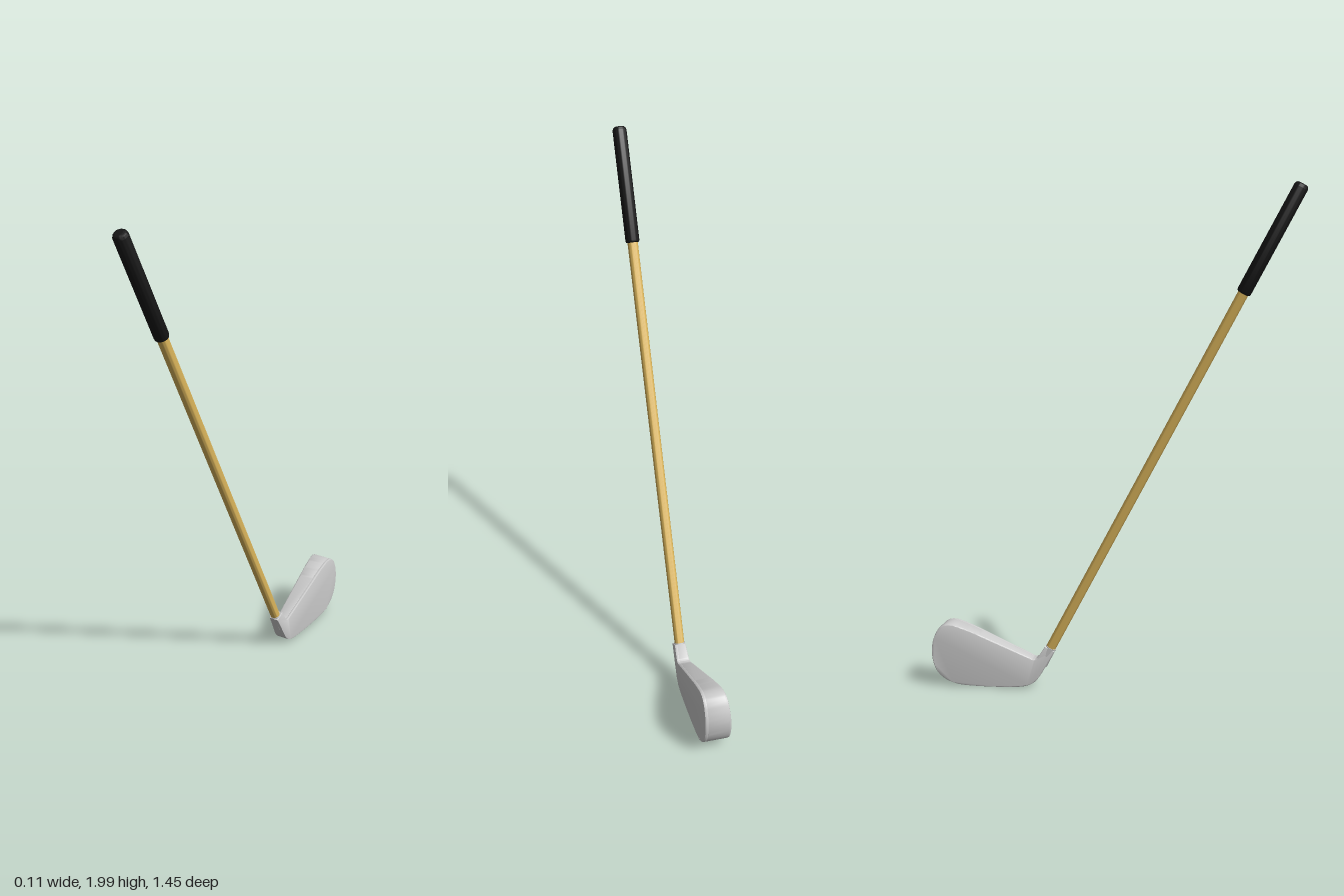
import * as THREE from 'three';
import { toCreasedNormals } from 'three/addons/utils/BufferGeometryUtils.js';

const steel = new THREE.MeshStandardMaterial({ color: 0xcccccc });
const gold = new THREE.MeshStandardMaterial({ color: 0xdcb65c });
const rubber = new THREE.MeshStandardMaterial({ color: 0x161616 });

const FACE = 0.047;    // x of the striking face
const FLOOR = 0.040;   // x of the recessed panel behind the ribs
const SHAFT_X = 0.022;

// Head outline, drawn with u = -z and v = y
function headShape() {
  const s = new THREE.Shape();
  s.moveTo(0.231, 0.160);
  s.lineTo(0.292, 0.055);
  s.quadraticCurveTo(0.312, 0.016, 0.37, 0.010);
  s.quadraticCurveTo(0.47, 0.004, 0.59, 0.012);
  s.bezierCurveTo(0.655, 0.018, 0.695, 0.045, 0.712, 0.085);
  s.bezierCurveTo(0.730, 0.130, 0.728, 0.185, 0.710, 0.220);
  s.bezierCurveTo(0.698, 0.252, 0.675, 0.268, 0.635, 0.260);
  s.quadraticCurveTo(0.58, 0.243, 0.53, 0.220);
  s.lineTo(0.335, 0.134);
  s.quadraticCurveTo(0.311, 0.118, 0.299, 0.133);
  s.lineTo(0.269, 0.180);
  s.closePath();
  return s;
}

// Upper edge of the ribbed panel: u where it reaches height v
const PANEL = { u0: 0.33, u1: 0.645, bottom: 0.024, top0: 0.120, top1: 0.248 };
const panelStart = (v) => PANEL.u0 +
  Math.max(0, (v - PANEL.top0) * (PANEL.u1 - PANEL.u0) / (PANEL.top1 - PANEL.top0));

const polygon = (pts, Type = THREE.Shape) =>
  new Type(pts.map(([u, v]) => new THREE.Vector2(u, v)));

// Extrude a (u, v) shape along x so that it ends at x = front
function slab(shape, front, depth, bevel, segments = 1) {
  const g = new THREE.ExtrudeGeometry(shape, {
    depth: depth - 2 * bevel, curveSegments: 10, bevelEnabled: bevel > 0,
    bevelSize: bevel, bevelThickness: bevel, bevelOffset: -bevel, bevelSegments: segments,
  });
  g.translate(0, 0, front - depth + bevel);
  return g.rotateY(Math.PI / 2);
}

function add(parent, name, geometry, material) {
  const mesh = new THREE.Mesh(geometry, material);
  mesh.name = name;
  parent.add(mesh);
  return mesh;
}

function createHead() {
  const head = new THREE.Group();
  head.name = 'head';

  // Wedge body: the back slopes away toward the toe and the sole
  const depth = 0.04;
  const body = slab(headShape(), FLOOR, depth, 0.004, 3);
  const p = body.attributes.position;
  for (let i = 0; i < p.count; i++) {
    const back = 0.027 + 0.122 * p.getZ(i) + 0.04 * p.getY(i);
    p.setX(i, FLOOR + (p.getX(i) - FLOOR) * (FLOOR - back) / depth);
  }
  add(head, 'headBody', toCreasedNormals(body, 0.6), steel);

  // Face frame with a window for the ribbed panel
  const frame = headShape();
  frame.holes.push(polygon([
    [PANEL.u0, PANEL.bottom], [PANEL.u0, PANEL.top0],
    [PANEL.u1, PANEL.top1], [PANEL.u1, PANEL.bottom],
  ], THREE.Path));
  add(head, 'faceFrame', toCreasedNormals(slab(frame, FACE, 0.014, 0.003, 2), 0.6), steel);

  // Horizontal ribs, trimmed to the slanted top of the panel
  for (let i = 0; i < 8; i++) {
    const lo = 0.031 + i * 0.0265, hi = lo + 0.016;
    const rib = polygon([
      [panelStart(lo), lo], [PANEL.u1, lo], [PANEL.u1, hi], [panelStart(hi), hi],
    ]);
    add(head, 'faceRib', slab(rib, FACE - 0.001, 0.010, 0.003), steel);
  }
  return head;
}

// Lathe along the shaft axis; profile is [radius, distance from shaft foot]
const lathe = (pts) => toCreasedNormals(
  new THREE.LatheGeometry(pts.map(([r, t]) => new THREE.Vector2(r, t)), 28), 0.7);

export function createModel() {
  const model = new THREE.Group();
  model.name = 'golfIron';
  model.add(createHead());

  // Shaft assembly, leaning toward the front
  const foot = new THREE.Vector3(SHAFT_X, 0.17, -0.25);
  const axis = new THREE.Vector3(SHAFT_X, 1.990, 0.705).sub(foot);
  const L = axis.length();
  const stick = new THREE.Group();
  stick.name = 'shaftAssembly';
  stick.position.copy(foot);
  stick.quaternion.setFromUnitVectors(new THREE.Vector3(0, 1, 0), axis.normalize());
  model.add(stick);

  add(stick, 'hosel', lathe([[0, -0.08], [0.0225, -0.08], [0.0215, 0.004], [0, 0.004]]), steel);
  add(stick, 'shaft', lathe([[0, -0.01], [0.0195, -0.01], [0.0205, L - 0.3], [0, L - 0.3]]), gold);

  // Grip with rounded ends
  const g0 = L - 0.452, r = 0.0275;
  add(stick, 'grip', lathe([
    [0, g0], [r - 0.007, g0], [r - 0.002, g0 + 0.003], [r, g0 + 0.009],
    [r, L - 0.014], [r - 0.003, L - 0.006], [r - 0.008, L - 0.001], [r - 0.014, L], [0, L],
  ]), rubber);

  return model;
}
